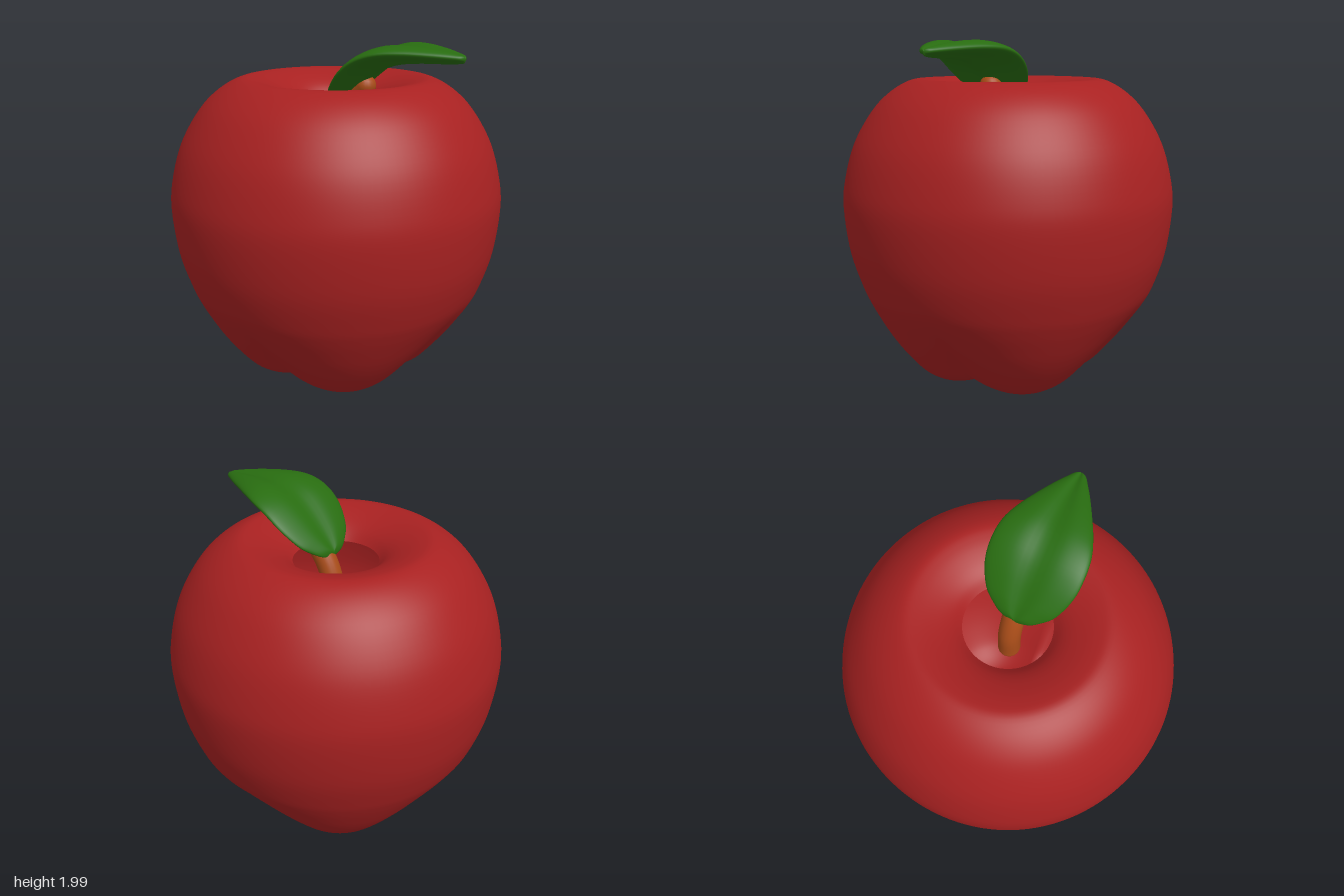
import * as THREE from 'three';
import { mergeVertices } from 'three/addons/utils/BufferGeometryUtils.js';
import { ParametricGeometry } from 'three/addons/geometries/ParametricGeometry.js';

const curve2 = (pts) => new THREE.SplineCurve(pts.map(([x, y]) => new THREE.Vector2(x, y)));

// Weld seams so the surface shades smoothly
function weld(geometry) {
  geometry.deleteAttribute('uv');
  geometry.deleteAttribute('normal');
  const g = mergeVertices(geometry, 1e-5);
  g.computeVertexNormals();
  return g;
}

function part(name, geometry, color) {
  const mesh = new THREE.Mesh(geometry, new THREE.MeshStandardMaterial({ color }));
  mesh.name = name;
  return mesh;
}

// Lathed hollow fruit, open at the stem, with four lobes pressed into its lower half
function bodyGeometry() {
  const profile = curve2([
    [0, 0.24], [0.1, 0.2], [0.2, 0.08], [0.28, 0.015], [0.35, 0], [0.425, 0.015], [0.495, 0.05], [0.555, 0.1],
    [0.64, 0.2], [0.711, 0.3], [0.77, 0.4], [0.823, 0.5], [0.866, 0.6], [0.928, 0.8], [0.958, 1.05], [0.943, 1.22],
    [0.885, 1.42], [0.78, 1.6], [0.67, 1.71], [0.55, 1.773], [0.46, 1.768], [0.36, 1.732], [0.29, 1.69], [0.24, 1.64],
  ]).getPoints(115);
  profile[0].x = 0;
  const g = new THREE.LatheGeometry(profile, 128);
  const p = g.attributes.position;
  for (let i = 0; i < p.count; i++) {
    const x = p.getX(i), y = p.getY(i), z = p.getZ(i);
    const r = Math.hypot(x, z);
    const groove = r > 1e-6 ? 1 - Math.abs(2 * x * z) / (r * r) : 0;
    const w = groove * (1 - THREE.MathUtils.smoothstep(y, 0, 0.65));
    const s = 1 - 0.1 * w;
    p.setXYZ(i, x * s, y + 0.065 * w * Math.min(1, r / 0.25), z * s);
  }
  return weld(g);
}

// Thick curved leaf with a dip along the midrib
function leafGeometry() {
  const spine = curve2([
    [0.03, 1.66], [0.1, 1.735], [0.2, 1.833], [0.3, 1.905], [0.42, 1.947], [0.55, 1.956], [0.7, 1.948], [0.83, 1.935],
  ]);
  const halfWidth = curve2([
    [0, 0], [0.015, 0.08], [0.06, 0.14], [0.13, 0.2], [0.266, 0.25], [0.4, 0.262], [0.52, 0.25],
    [0.63, 0.213], [0.74, 0.163], [0.855, 0.106], [0.945, 0.055], [0.985, 0.029], [1, 0],
  ]);
  const at = new THREE.Vector2();
  const width = new THREE.Vector2();
  return weld(new ParametricGeometry((u, v, target) => {
    const a = (u === 1 ? 0 : u) * Math.PI * 2;
    halfWidth.getPoint(v, width);
    const w = Math.max(0, width.y);
    spine.getPointAt(THREE.MathUtils.clamp(width.x, 0, 1), at);
    const c = Math.cos(a), k = Math.sqrt(w / 0.26);
    const dip = 0.025 * Math.exp(-((c / 0.3) ** 2));
    target.set(-0.02 + w * c, at.y + k * (0.05 * Math.sin(a) - dip), at.x);
  }, 48, 48));
}

export function createModel() {
  const model = new THREE.Group();
  model.name = 'apple';
  const body = part('body', bodyGeometry(), 0xa82121);
  body.material.side = THREE.DoubleSide;
  model.add(body);

  // Stem leans forward out of the opening and ends under the leaf
  const path = new THREE.CatmullRomCurve3([
    new THREE.Vector3(0, 1.33, 0.015), new THREE.Vector3(0, 1.5, 0.025),
    new THREE.Vector3(0, 1.64, 0.09), new THREE.Vector3(0, 1.745, 0.2),
  ]);
  const stem = new THREE.Group();
  stem.name = 'stem';
  stem.add(part('stalk', new THREE.TubeGeometry(path, 24, 0.063, 20), 0xa84c18));
  for (const t of [0, 1]) {
    const end = part('stemEnd', new THREE.SphereGeometry(0.063, 20, 12), 0xa84c18);
    end.position.copy(path.getPoint(t));
    stem.add(end);
  }
  model.add(stem);

  model.add(part('leaf', leafGeometry(), 0x286c10));
  return model;
}
